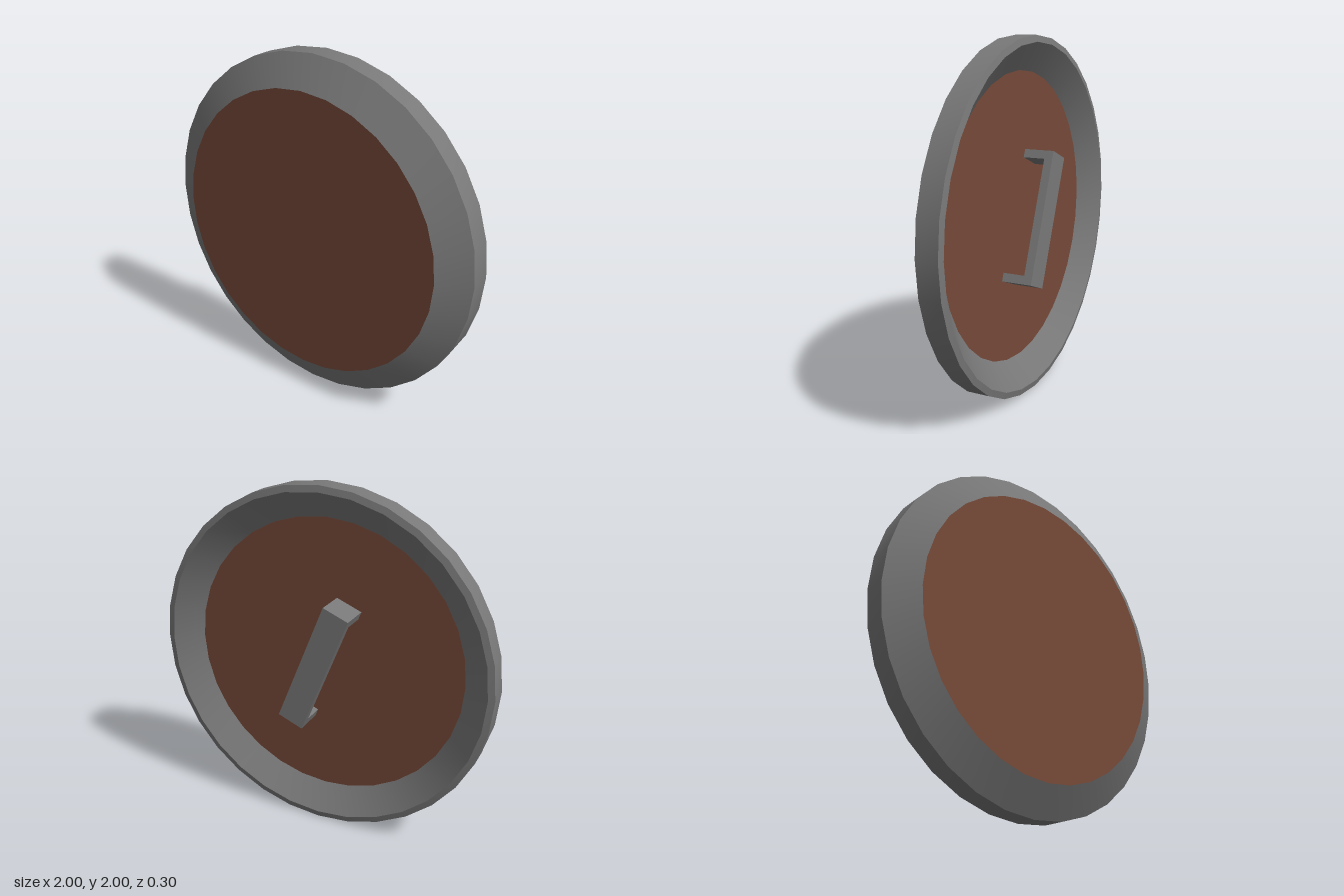
import * as THREE from 'three';
import { toCreasedNormals } from 'three/addons/utils/BufferGeometryUtils.js';

const SIDES = 32;

export function createModel() {
  const steel = new THREE.MeshStandardMaterial({ color: 0x787878 });
  steel.name = 'grey steel';
  const wood = new THREE.MeshStandardMaterial({ color: 0x764938 });
  wood.name = 'brown wood';

  const shield = new THREE.Group();
  shield.name = 'roundShield';
  shield.position.y = 1;

  const add = (name, geometry, material) => {
    const mesh = new THREE.Mesh(geometry, material);
    mesh.name = name;
    shield.add(mesh);
    return mesh;
  };

  // Rim: inner slope, back lip, outer wall and front bevel (radius, z)
  const rimProfile = [
    [0.815, 0.025], [0.964, -0.083], [1, -0.075], [1, 0.05], [0.83, 0.15],
  ].map(([r, z]) => new THREE.Vector2(r, z));
  const rim = new THREE.LatheGeometry(rimProfile, SIDES).rotateX(Math.PI / 2);
  add('rim', toCreasedNormals(rim, Math.PI / 6), steel);

  // Wooden panel filling the rim
  const panel = new THREE.CylinderGeometry(0.83, 0.815, 0.125, SIDES)
    .rotateX(Math.PI / 2)
    .translate(0, 0, 0.0875);
  add('panel', panel, wood);

  // Grip: a U-shaped strap, drawn in (z, y) and extruded across its width
  const half = 0.375, thick = 0.048, width = 0.157, back = -0.15, base = 0.026;
  const strap = new THREE.Shape([
    [back, -half], [base, -half], [base, -half + thick], [back + thick, -half + thick],
    [back + thick, half - thick], [base, half - thick], [base, half], [back, half],
  ].map(([z, y]) => new THREE.Vector2(z, y)));
  const grip = new THREE.ExtrudeGeometry(strap, { depth: width, bevelEnabled: false })
    .translate(0, 0, -width / 2)
    .rotateY(-Math.PI / 2);
  add('handle', grip, steel).rotation.z = THREE.MathUtils.degToRad(22);

  const model = new THREE.Group();
  model.name = 'shieldModel';
  model.add(shield);
  return model;
}
